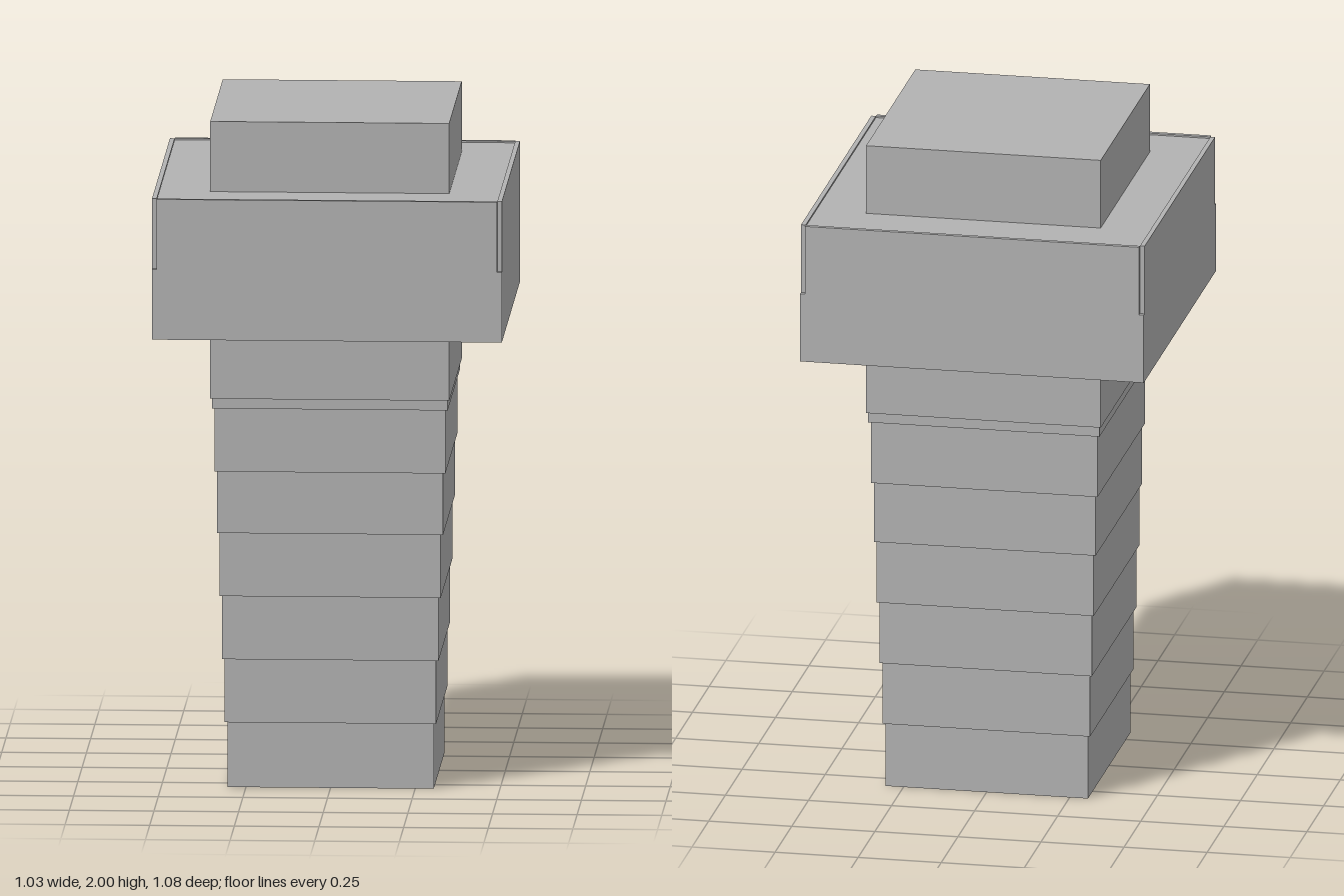
import * as THREE from 'three';

export function createModel() {
  const model = new THREE.Group();
  const stone = new THREE.MeshStandardMaterial({ color: 0xb2b2b2 });
  stone.name = 'grey stone';

  // Block spanning y0..y1 with half sizes hx, hz
  function block(name, hx, hz, y0, y1, x = 0, z = 0) {
    const mesh = new THREE.Mesh(new THREE.BoxGeometry(hx * 2, y1 - y0, hz * 2), stone);
    mesh.position.set(x, (y0 + y1) / 2, z);
    mesh.name = name;
    model.add(mesh);
  }

  // Shaft of courses, each a little wider than the one below
  const levels = [0, 0.195, 0.385, 0.575, 0.765, 0.95, 1.14, 1.17];
  for (let i = 0; i < levels.length - 1; i++) {
    block('shaftCourse' + (i + 1), 0.305 + i * 0.0072, 0.32 + i * 0.0072, levels[i], levels[i + 1]);
  }
  block('neck', 0.353, 0.368, 1.17, 1.375);

  // Wide head: plain lower half, upper half faced with four plates
  const hx = 0.517, hz = 0.54, t = 0.014;
  block('headLower', hx, hz, 1.375, 1.585);
  block('headCore', hx - t, hz - t, 1.585, 1.79);
  for (const side of [-1, 1]) {
    block('headPlateX', t / 2, hz - t, 1.585, 1.795, side * (hx - t / 2), 0);
    block('headPlateZ', hx - t, t / 2, 1.585, 1.795, 0, side * (hz - t / 2));
  }

  // Top block
  block('cap', 0.353, 0.368, 1.79, 2);
  return model;
}
